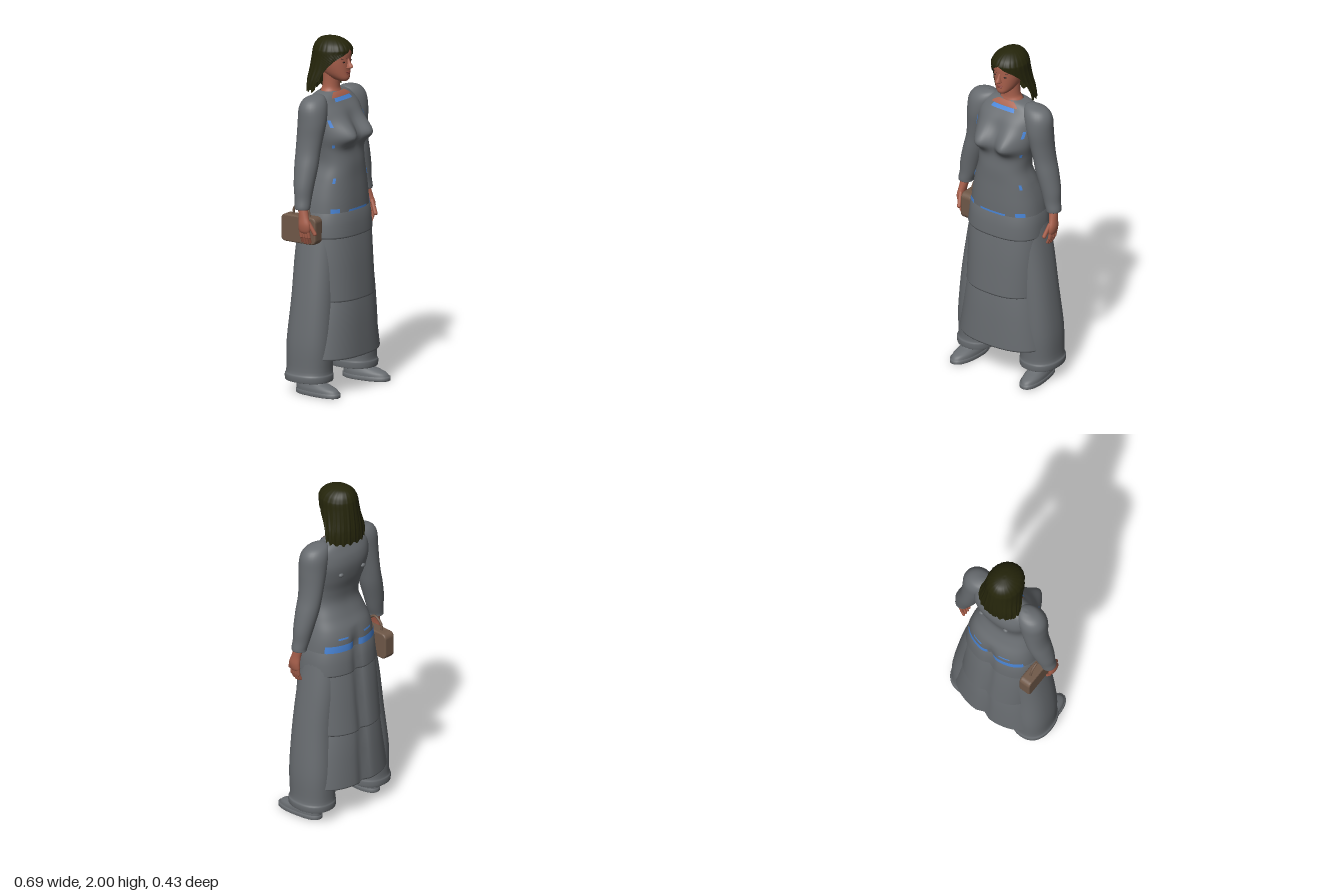
import * as THREE from 'three';

const mat = (name, color, side = THREE.DoubleSide) => {
  const m = new THREE.MeshStandardMaterial({ color, side });
  m.name = name;
  return m;
};

// Smooth a list of cross-section rows with a Catmull-Rom blend
function densify(rows, sub) {
  const out = [], last = rows.length - 1;
  for (let i = 0; i < last; i++) {
    const [a, b, c, d] = [rows[Math.max(i - 1, 0)], rows[i], rows[i + 1], rows[Math.min(i + 2, last)]];
    for (let k = 0; k < sub; k++) {
      const t = k / sub;
      out.push(b.map((v, j) => v + 0.5 * t * (c[j] - a[j]
        + t * (2 * a[j] - 5 * v + 4 * c[j] - d[j] + t * (3 * (v - c[j]) + d[j] - a[j])))));
    }
  }
  out.push(rows[last]);
  return out;
}

// Skin horizontal rings, bottom to top. Row: [y, centre x, half width, front z, back z, opening angle]
function loft(name, material, rows, { seg = 40, n = 2, sub = 4, rule, arc, open = false } = {}) {
  const rings = sub > 1 ? densify(rows, sub) : rows;
  const closed = !arc && !open, cols = closed ? seg : seg + 1;
  const pos = [], idx = [], p = new THREE.Vector3();
  const pow = (v) => Math.sign(v) * Math.abs(v) ** (2 / n);
  rings.forEach(([y, cx, rx, zf, zb, gap = 0], i) => {
    const [t0, t1] = arc || [gap, 2 * Math.PI - gap];
    for (let j = 0; j < cols; j++) {
      const t = t0 + (t1 - t0) * j / seg;
      p.set(cx + rx * pow(Math.sin(t)), y, (zf + zb) / 2 + (zf - zb) / 2 * pow(Math.cos(t)));
      if (rule) rule(p, t, i / (rings.length - 1));
      pos.push(p.x, p.y, p.z);
    }
  });
  for (let i = 0; i < rings.length - 1; i++) {
    for (let j = 0; j < seg; j++) {
      const a = i * cols + j, b = i * cols + (j + 1) % cols;
      idx.push(a, b, b + cols, a, b + cols, a + cols);
    }
  }
  const g = new THREE.BufferGeometry();
  g.setAttribute('position', new THREE.Float32BufferAttribute(pos, 3));
  g.setIndex(idx);
  g.computeVertexNormals();
  const mesh = new THREE.Mesh(g, material);
  mesh.name = name;
  return mesh;
}

// Capsule between two points
function rod(name, material, a, b, r) {
  const A = new THREE.Vector3(...a), B = new THREE.Vector3(...b), d = B.clone().sub(A);
  const mesh = new THREE.Mesh(new THREE.CapsuleGeometry(r, d.length(), 4, 10), material);
  mesh.position.copy(A).add(B).multiplyScalar(0.5);
  mesh.quaternion.setFromUnitVectors(new THREE.Vector3(0, 1, 0), d.normalize());
  mesh.name = name;
  return mesh;
}

function ball(name, material, x, y, z, rx, ry, rz) {
  const mesh = new THREE.Mesh(new THREE.SphereGeometry(1, 16, 12), material);
  mesh.position.set(x, y, z);
  mesh.scale.set(rx, ry, rz);
  mesh.name = name;
  return mesh;
}

export function createModel() {
  const g = new THREE.Group();
  g.name = 'woman';
  const cloth = mat('grey cloth', 0x686c70), blue = mat('blue undershirt', 0x4a86d8);
  const skin = mat('skin', 0xa8604c), hair = mat('dark hair', 0x25250b);
  const leather = mat('brown leather', 0x6f5848), lip = mat('lips', 0x8a4238), dark = mat('eyes', 0x2a1c18);

  // Bust in front, centre crease at the back of the hips
  const crease = (p) => {
    if (p.z < -0.03 && p.y < 1.16) p.z += 0.022 * Math.exp(-((p.x / 0.03) ** 2)) * Math.min(1, (1.16 - p.y) * 10);
  };
  const body = (p) => {
    if (p.z > 0) {
      const dy = (p.y - 1.465) / (p.y < 1.465 ? 0.05 : 0.09), dx = (Math.abs(p.x) - 0.085) / 0.065;
      p.z += 0.068 * Math.exp(-dx * dx - dy * dy);
    }
    crease(p);
  };

  // Dress bodice
  const torso = [
    [0.98, 0, 0.225, 0.165, -0.15], [1.08, 0, 0.214, 0.165, -0.15], [1.15, 0, 0.2, 0.163, -0.135],
    [1.22, 0, 0.18, 0.16, -0.1], [1.3, 0, 0.155, 0.158, -0.075], [1.38, 0, 0.16, 0.15, -0.085],
    [1.46, 0, 0.178, 0.148, -0.11], [1.54, 0, 0.19, 0.12, -0.125], [1.6, 0, 0.19, 0.1, -0.12],
    [1.65, 0, 0.18, 0.065, -0.1], [1.68, 0, 0.13, 0.045, -0.085], [1.695, 0, 0.07, 0.03, -0.07]];
  g.add(loft('bodice', cloth, torso, { seg: 72, n: 2.4, sub: 6, rule: body }));

  // Thin patches lying on the bodice
  const fine = densify(torso, 6);
  const rowAt = (y) => {
    const i = Math.max(1, fine.findIndex((r) => r[0] >= y)), a = fine[i - 1], b = fine[i];
    const t = (y - a[0]) / (b[0] - a[0]), r = a.map((v, j) => v + t * (b[j] - v));
    return [y, 0, r[2] + 0.004, r[3] + 0.004, r[4] - 0.004];
  };
  const patch = (name, m, t0, t1, y0, y1) => g.add(loft(name, m,
    [0, 0.25, 0.5, 0.75, 1].map((k) => rowAt(y0 + (y1 - y0) * k)), { seg: 14, n: 2.4, sub: 1, rule: body, arc: [t0, t1] }));
  patch('collarLining', blue, -0.36, 0.36, 1.645, 1.665);
  patch('upperChest', skin, -0.5, 0.5, 1.666, 1.692);
  patch('frontWaistGap', blue, -0.32, 0.32, 1.034, 1.046);
  for (const s of [1, -1]) {
    const both = (name, a, b, y0, y1) => patch(name, blue, s > 0 ? a : -b, s > 0 ? b : -a, y0, y1);
    both('sideWaistGap', 0.62, 0.95, 1.034, 1.058);
    both('hipFleck', 0.9, 1.02, 1.2, 1.23);
    both('armholeFleck', 0.86, 0.98, 1.52, 1.56);
    both('ribFleck', 1.0, 1.12, 1.4, 1.42);
    both('backWaistGap', Math.PI - 1.0, Math.PI - 0.06, 1.034, 1.075);
    both('backFleck', Math.PI - 0.55, Math.PI - 0.22, 1.105, 1.116);
    g.add(ball('backClasp', cloth, s * 0.085, 1.5, -0.113, 0.016, 0.012, 0.012));
  }

  // Tiered skirt, each tier with a turned-in hem
  const tiers = [
    [[0.89, 0.235, 0.182, -0.168], [1.032, 0.222, 0.169, -0.154]],
    [[0.53, 0.238, 0.203, -0.205], [0.9, 0.231, 0.176, -0.161]],
    [[0.205, 0.288, 0.212, -0.217], [0.56, 0.236, 0.19, -0.19]]];
  tiers.forEach(([[y, w, f, b], [y2, w2, f2, b2]], i) => {
    const mid = (p, q) => (p + q) / 2;
    g.add(loft('skirtTier' + (i + 1), cloth, [
      [y + 0.006, 0, w - 0.014, f - 0.014, b + 0.014], [y, 0, w - 0.004, f - 0.004, b + 0.004],
      [y + 0.01, 0, w, f, b], [mid(y, y2), 0, mid(w, w2), mid(f, f2), mid(b, b2)],
      [y2, 0, w2, f2, b2], [y2 + 0.003, 0, w2 - 0.014, f2 - 0.014, b2 + 0.014]],
    { seg: 64, n: 2.5, sub: 1, rule: crease }));
  });

  for (const s of [1, -1]) {
    const side = s > 0 ? 'left' : 'right';
    const part = (name, m, rows, o) => g.add(loft(side + name, m, rows.map(([y, cx, ...r]) => [y, s * cx, ...r]), o));
    // Sleeve
    part('Sleeve', cloth, [
      [1.085, 0.3, 0.02, 0.02, -0.02], [1.07, 0.3, 0.04, 0.04, -0.042], [1.085, 0.3, 0.044, 0.044, -0.044],
      [1.13, 0.288, 0.049, 0.044, -0.052], [1.2, 0.275, 0.058, 0.05, -0.065], [1.3, 0.249, 0.063, 0.058, -0.08],
      [1.38, 0.23, 0.061, 0.06, -0.086], [1.46, 0.215, 0.066, 0.068, -0.088], [1.55, 0.2, 0.078, 0.078, -0.088],
      [1.63, 0.187, 0.085, 0.07, -0.085], [1.675, 0.17, 0.07, 0.045, -0.065], [1.692, 0.15, 0.03, 0.01, -0.03],
      [1.694, 0.15, 0.002, -0.008, -0.012]], { seg: 28 });
    // Hand
    part('Palm', skin, [
      [0.935, 0.311, 0.004, 0.03, 0.015], [0.945, 0.312, 0.016, 0.056, -0.012], [0.985, 0.316, 0.02, 0.06, -0.015],
      [1.03, 0.31, 0.022, 0.045, -0.016], [1.09, 0.3, 0.028, 0.028, -0.028]], { seg: 20 });
    for (let i = 0; i < 4; i++) {
      const z = -0.004 + i * 0.017, tip = 0.885 - 0.008 * Math.sin(i * 1.05);
      g.add(rod(side + 'Finger', skin, [s * 0.313, 0.95, z], [s * 0.308, 0.915, z + 0.002], 0.0095));
      g.add(rod(side + 'Fingertip', skin, [s * 0.308, 0.915, z + 0.002], [s * 0.293, tip, z], 0.008));
    }
    g.add(rod(side + 'Thumb', skin, [s * 0.307, 1.0, 0.045], [s * 0.293, 0.935, 0.078], 0.0115));
    // Wide trouser leg
    part('TrouserLeg', cloth, [
      [0.1, 0.215, 0.05, 0.04, -0.07], [0.085, 0.215, 0.105, 0.11, -0.14], [0.078, 0.215, 0.114, 0.12, -0.15],
      [0.11, 0.215, 0.117, 0.122, -0.152], [0.14, 0.212, 0.11, 0.116, -0.146], [0.3, 0.207, 0.113, 0.125, -0.146],
      [0.55, 0.183, 0.111, 0.125, -0.13], [0.8, 0.149, 0.108, 0.12, -0.13], [1.0, 0.11, 0.11, 0.12, -0.12]],
    { seg: 32, n: 2.3 });
    // Shoe: sole and upper
    const toeOut = (p) => { p.x += s * Math.max(0, p.z) * 0.08; };
    part('ShoeSole', cloth, [
      [0, 0.225, 0.005, 0.06, 0.05], [0, 0.225, 0.056, 0.2, -0.085], [0.004, 0.225, 0.062, 0.208, -0.09],
      [0.025, 0.225, 0.062, 0.208, -0.09], [0.027, 0.225, 0.05, 0.19, -0.08]], { sub: 1, n: 2.3, rule: toeOut });
    part('ShoeUpper', cloth, [
      [0.022, 0.225, 0.058, 0.203, -0.086], [0.042, 0.225, 0.056, 0.188, -0.086], [0.058, 0.225, 0.05, 0.15, -0.084],
      [0.075, 0.225, 0.045, 0.1, -0.08], [0.12, 0.22, 0.04, 0.045, -0.075]], { n: 2.2, rule: toeOut });
  }

  // Handbag with arched handle
  const outline = new THREE.Shape();
  const [hw, hh, r] = [0.11, 0.07, 0.022];
  outline.moveTo(-hw + r, -hh);
  [[hw - r, -hh + r, -0.5], [hw - r, hh - r, 0], [-hw + r, hh - r, 0.5], [-hw + r, -hh + r, 1]]
    .forEach(([x, y, a]) => outline.absarc(x, y, r, a * Math.PI, (a + 0.5) * Math.PI));
  const bag = new THREE.Mesh(new THREE.ExtrudeGeometry(outline,
    { depth: 0.05, bevelThickness: 0.01, bevelSize: 0.008, bevelSegments: 3, curveSegments: 6 }), leather);
  bag.name = 'handbag';
  bag.rotation.y = Math.PI / 2;
  bag.position.set(-0.275, 0.942, -0.042);
  const handle = new THREE.Mesh(new THREE.TubeGeometry(new THREE.CatmullRomCurve3([
    [1.01, -0.1], [1.06, -0.088], [1.088, -0.045], [1.06, 0], [1.01, 0.015]]
    .map(([y, z]) => new THREE.Vector3(-0.25, y, z))), 24, 0.007, 8), leather);
  handle.name = 'handbagHandle';
  g.add(bag, handle);

  // Neck and head
  g.add(loft('neck', skin, [
    [1.65, 0, 0.085, 0.05, -0.08], [1.69, 0, 0.066, 0.036, -0.072], [1.72, 0, 0.05, 0.03, -0.065],
    [1.8, 0, 0.05, 0.035, -0.06]], { seg: 28 }));
  g.add(loft('head', skin, [
    [1.753, 0, 0.004, 0.072, 0.05], [1.757, 0, 0.024, 0.09, 0.02], [1.772, 0, 0.042, 0.1, -0.02],
    [1.8, 0, 0.06, 0.1, -0.06], [1.84, 0, 0.073, 0.1, -0.085], [1.88, 0, 0.079, 0.1, -0.095],
    [1.93, 0, 0.08, 0.098, -0.1], [1.97, 0, 0.055, 0.06, -0.08], [1.985, 0, 0.01, 0, -0.02]], { seg: 36, n: 2.2 }));
  g.add(loft('nose', skin, [
    [1.828, 0, 0.004, 0.105, 0.09], [1.832, 0, 0.016, 0.122, 0.08], [1.842, 0, 0.014, 0.131, 0.08],
    [1.862, 0, 0.009, 0.116, 0.08], [1.885, 0, 0.007, 0.102, 0.08]], { seg: 14 }));
  g.add(ball('upperLip', lip, 0, 1.809, 0.099, 0.022, 0.005, 0.007));
  g.add(ball('lowerLip', lip, 0, 1.801, 0.098, 0.018, 0.006, 0.007));
  for (const s of [1, -1]) {
    g.add(ball('eye', dark, s * 0.031, 1.868, 0.092, 0.012, 0.005, 0.004));
    g.add(rod('eyebrow', dark, [s * 0.017, 1.886, 0.096], [s * 0.046, 1.888, 0.085], 0.003));
  }

  // Shoulder-length hair, open around the face, with strand ridges and a ragged hem
  const strands = (p, t, v) => {
    const low = 1 - v, k = 1 + 0.02 * low * Math.sin(t * 23) + 0.012 * low * Math.sin(t * 41);
    p.x *= k;
    p.z = (p.z + 0.03) * k - 0.03;
    if (v < 0.12) p.y += 0.008 * Math.sin(t * 17) + 0.014 * Math.cos(t);
  };
  g.add(loft('hair', hair, [
    [1.7, 0, 0.13, 0.03, -0.142, 1.35], [1.75, 0, 0.128, 0.05, -0.143, 1.33], [1.82, 0, 0.114, 0.085, -0.136, 1.22],
    [1.88, 0, 0.106, 0.105, -0.128, 0.85], [1.92, 0, 0.103, 0.11, -0.122, 0.22], [1.938, 0, 0.098, 0.109, -0.118, 0],
    [1.965, 0, 0.082, 0.09, -0.105, 0], [1.988, 0, 0.052, 0.052, -0.08, 0], [1.999, 0, 0.018, 0.01, -0.035, 0],
    [2, 0, 0.001, -0.01, -0.012, 0]], { seg: 120, sub: 5, rule: strands, open: true }));
  return g;
}
